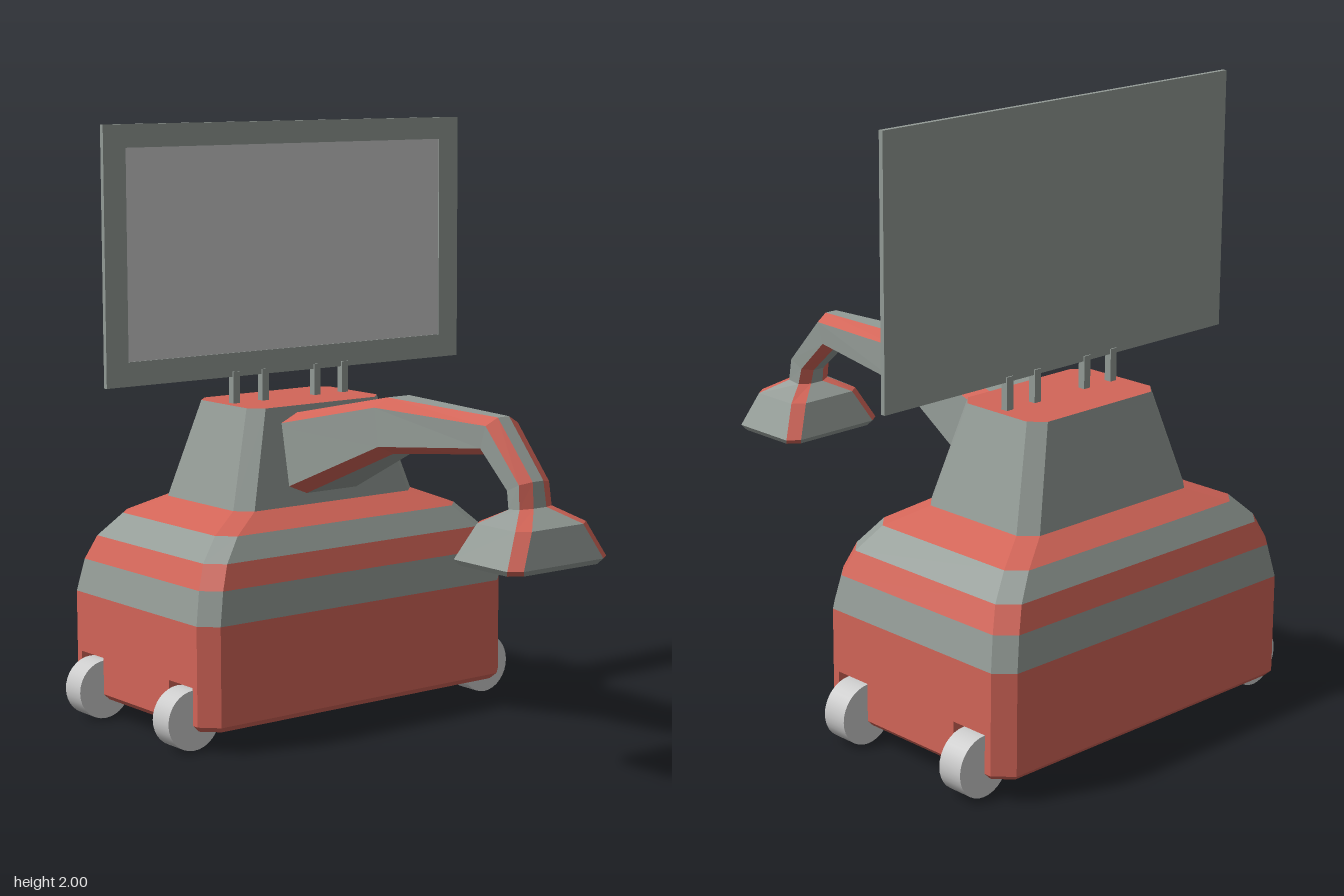
import * as THREE from 'three';

const RED = 0xd36558, GREY = 0x939b96, LIGHT = 0xcccccc;
const CX = -0.485; // centre of the cart in x

const V = (x, y, z) => new THREE.Vector3(x, y, z);

function mesh(name, geometry, color) {
  const m = new THREE.Mesh(geometry, new THREE.MeshStandardMaterial({ color, flatShading: true }));
  m.name = name;
  return m;
}

// Flat-faced skin over a list of rings; keep(side) picks which sides are built.
function loft(rings, keep = () => true) {
  const pos = [];
  const tri = (...pts) => pts.forEach((p) => pos.push(p.x, p.y, p.z));
  for (let r = 0; r + 1 < rings.length; r++) {
    const a = rings[r], b = rings[r + 1], n = a.length;
    for (let i = 0; i < n; i++) {
      if (!keep(i)) continue;
      const j = (i + 1) % n;
      tri(a[i], a[j], b[j]);
      tri(a[i], b[j], b[i]);
    }
  }
  return fromPositions(pos);
}

// Flat horizontal cap of a ring.
function cap(ring, up) {
  const pos = [];
  const flat = ring.map((p) => new THREE.Vector2(p.x, -p.z));
  for (const [a, b, c] of THREE.ShapeUtils.triangulateShape(flat, [])) {
    for (const i of up ? [a, b, c] : [a, c, b]) pos.push(ring[i].x, ring[i].y, ring[i].z);
  }
  return fromPositions(pos);
}

function fromPositions(pos) {
  const g = new THREE.BufferGeometry();
  g.setAttribute('position', new THREE.Float32BufferAttribute(pos, 3));
  g.computeVertexNormals();
  return g;
}

// Rectangle with cut corners at height y, optionally with wheel notches in both z sides.
function plan(y, hx, hz, c, notched = false) {
  const half = [[hx, hz - c], [hx, c - hz], [hx - c, -hz]];
  if (notched) {
    for (const x of [0.2625, -0.2625]) {
      const r = x + 0.0675, l = x - 0.0675;
      half.push([r, -hz], [r, -0.51], [l, -0.51], [l, -hz]);
    }
  }
  half.push([c - hx, -hz]);
  const all = [...half, ...half.map(([x, z]) => [-x, -z])];
  return all.map(([x, z]) => V(CX + x, y, z));
}

// Arm section spanning from an inner to an outer point, with cut corners.
function armRing([ox, oy, ix, iy, hz, cu, cz]) {
  const mid = V((ox + ix) / 2, (oy + iy) / 2, 0);
  const u = V(ox - ix, oy - iy, 0);
  const hu = u.length() / 2;
  u.normalize();
  const w = hz - cz, k = hu - cu;
  return [[hu, -w], [hu, w], [k, hz], [-k, hz], [-hu, w], [-hu, -w], [-k, -hz], [k, -hz]]
    .map(([a, z]) => mid.clone().addScaledVector(u, a).add(V(0, 0, z)));
}

function buildBody() {
  const g = new THREE.Group();
  g.name = 'body';
  // Lower hull with the wheel wells
  const low = [plan(0.07, 0.39, 0.62, 0.05, true), plan(0.09, 0.41, 0.64, 0.055, true),
    plan(0.215, 0.41, 0.64, 0.055, true)];
  g.add(mesh('lowerHull', loft(low), RED), mesh('hullBottom', cap(low[0], false), RED));
  // Striped shell, then the tower
  const rings = [plan(0.215, 0.41, 0.64, 0.055), plan(0.42, 0.41, 0.64, 0.055),
    plan(0.53, 0.393, 0.617, 0.055), plan(0.61, 0.367, 0.582, 0.055),
    plan(0.685, 0.322, 0.505, 0.052), plan(0.74, 0.24, 0.375, 0.05), plan(1.065, 0.175, 0.275, 0.045)];
  const names = ['upperHull', 'lowerGreyStripe', 'redStripe', 'upperGreyStripe', 'shoulder', 'tower'];
  names.forEach((name, i) => {
    g.add(mesh(name, loft([rings[i], rings[i + 1]]), i % 2 ? GREY : RED));
  });
  g.add(mesh('wheelWellRoof', cap(rings[0], false), RED), mesh('towerTop', cap(rings[6], true), RED));
  return g;
}

function buildWheels() {
  const g = new THREE.Group();
  g.name = 'wheels';
  const geo = new THREE.CylinderGeometry(0.1, 0.1, 0.09, 32).rotateZ(Math.PI / 2);
  for (const x of [-0.2625, 0.2625]) {
    for (const z of [-0.62, 0.62]) {
      const w = mesh('wheel', geo, LIGHT);
      w.material.flatShading = false;
      w.position.set(CX + x, 0.1, z);
      g.add(w);
    }
  }
  return g;
}

function buildArm() {
  const g = new THREE.Group();
  g.name = 'arm';
  // outer x, y, inner x, y, half width, corner cut along and across
  const rings = [
    [-0.36, 1.03, -0.30, 0.755, 0.182, 0.03, 0.07],
    [0.10, 1.13, 0.13, 0.95, 0.105, 0.028, 0.06],
    [0.61, 1.12, 0.57, 1.00, 0.066, 0.025, 0.043],
    [0.77, 0.94, 0.68, 0.90, 0.062, 0.02, 0.04],
    [0.78, 0.86, 0.69, 0.85, 0.066, 0.02, 0.04],
    // flared head
    [0.86, 0.81, 0.625, 0.81, 0.145, 0.03, 0.04],
    [0.89, 0.70, 0.585, 0.70, 0.203, 0.03, 0.04],
    [0.875, 0.682, 0.60, 0.682, 0.19, 0.03, 0.04],
    [0.75, 0.672, 0.725, 0.672, 0.02, 0.01, 0.015],
  ].map(armRing);
  g.add(mesh('armPanels', loft(rings, (i) => i % 2 === 0), GREY));
  g.add(mesh('armEdges', loft(rings, (i) => i % 2 === 1), RED));
  g.add(mesh('headBottom', cap(rings[8].slice().reverse(), false), GREY));
  return g;
}

function buildScreen() {
  const g = new THREE.Group();
  g.name = 'screen';
  const rect = (T, hx, y0, y1) => new T([[-hx, y0], [hx, y0], [hx, y1], [-hx, y1]]
    .map(([x, y]) => new THREE.Vector2(x, y)));
  // Frame with a shallow recess for the panel
  const shape = rect(THREE.Shape, 0.74, 1.155, 2);
  shape.holes.push(rect(THREE.Path, 0.655, 1.235, 1.925));
  const frame = mesh('screenFrame', new THREE.ExtrudeGeometry(shape, { depth: 0.008, bevelEnabled: false }), GREY);
  frame.rotation.y = Math.PI / 2;
  frame.position.x = CX;
  const back = mesh('screenBack', new THREE.BoxGeometry(0.008, 0.845, 1.48), GREY);
  back.position.set(CX - 0.004, 1.5775, 0);
  const panel = mesh('screenPanel', new THREE.BoxGeometry(0.004, 0.69, 1.31), LIGHT);
  panel.position.set(CX + 0.002, 1.58, 0);
  g.add(frame, back, panel);
  // Posts on the tower
  for (const z of [-0.23, -0.11, 0.11, 0.23]) {
    const post = mesh('screenPost', new THREE.BoxGeometry(0.025, 0.12, 0.027), GREY);
    post.position.set(CX, 1.112, z);
    g.add(post);
  }
  return g;
}

export function createModel() {
  const model = new THREE.Group();
  model.name = 'screenCart';
  model.add(buildBody(), buildWheels(), buildArm(), buildScreen());
  return model;
}
